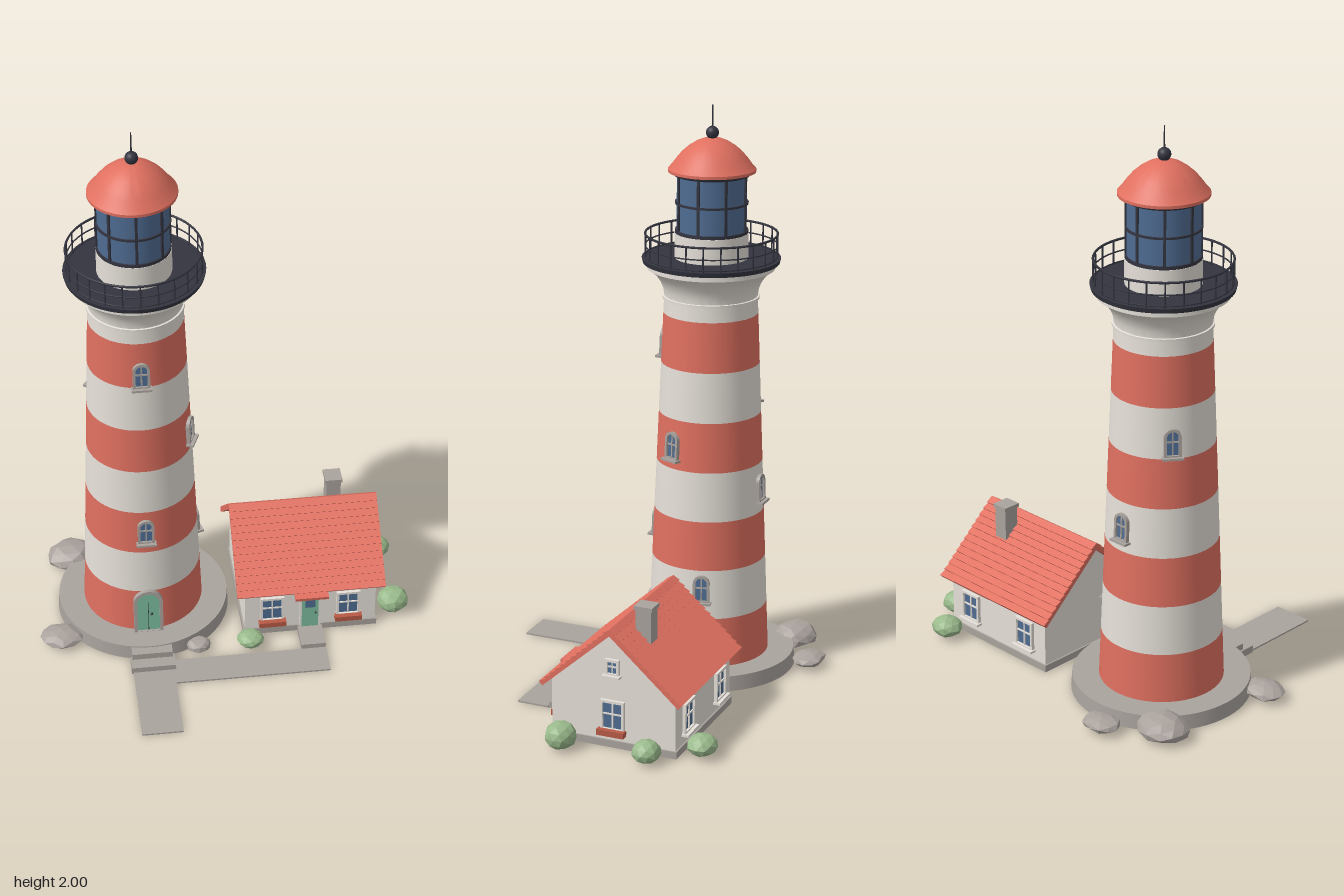
import * as THREE from 'three';
import { toCreasedNormals } from 'three/addons/utils/BufferGeometryUtils.js';

const mat = (name, color, extra = {}) => new THREE.MeshStandardMaterial({ name, color, ...extra });

export function createModel() {
  const red = mat('coral red', 0xe07060);
  const white = mat('warm white', 0xe6e1d9);
  const dark = mat('dark iron', 0x343440);
  const glass = mat('blue glass', 0x4f6c92);
  const green = mat('door green', 0x7cbc9e);
  const stone = mat('grey stone', 0xaaa39e);
  const leaf = mat('leaf green', 0x9aba8c, { flatShading: true });
  const rockMat = mat('rock', 0xaaa29d, { flatShading: true });
  const clay = mat('clay', 0xb85a45);

  const model = new THREE.Group();
  model.name = 'lighthouseStation';

  const add = (parent, name, geo, material, x = 0, y = 0, z = 0) => {
    const m = new THREE.Mesh(geo, material);
    m.name = name;
    m.position.set(x, y, z);
    parent.add(m);
    return m;
  };
  const box = (parent, name, material, w, h, d, x, y, z) =>
    add(parent, name, new THREE.BoxGeometry(w, h, d), material, x, y, z);
  const group = (parent, name, x = 0, y = 0, z = 0) => {
    const g = new THREE.Group();
    g.name = name;
    g.position.set(x, y, z);
    parent.add(g);
    return g;
  };
  const extrude = (shape, depth) =>
    new THREE.ExtrudeGeometry(shape, { depth, bevelEnabled: false, curveSegments: 10 });

  // Rectangle or round-headed outline standing on y = base
  const outline = (w, h, arched, base = 0, Type = THREE.Shape) => {
    const s = new Type();
    const r = w / 2;
    s.moveTo(-r, base);
    s.lineTo(r, base);
    if (arched) {
      s.lineTo(r, h - r);
      s.absarc(0, h - r, r, 0, Math.PI, false);
    } else {
      s.lineTo(r, h);
      s.lineTo(-r, h);
    }
    s.closePath();
    return s;
  };

  // Frame, pane and glazing bars, facing +z with the sill at y = 0
  const windowUnit = (parent, name, w, h, o = {}) => {
    const { arched = false, frameMat = white, t = 0.009, out = 0.012, box: planter = false } = o;
    const g = group(parent, name);
    const frame = outline(w, h, arched);
    frame.holes.push(outline(w - 2 * t, h - t, arched, t, THREE.Path));
    add(g, 'windowFrame', extrude(frame, out + 0.015), frameMat, 0, 0, -0.015);
    add(g, 'windowPane', extrude(outline(w - t, h - t / 2, arched, t / 2), 0.009), glass, 0, 0, -0.005);
    box(g, 'glazingBar', frameMat, 0.005, h - t, 0.006, 0, h / 2, 0.005);
    box(g, 'glazingBar', frameMat, w - t, 0.005, 0.006, 0, h * 0.55, 0.005);
    box(g, 'sill', frameMat, w + 0.012, 0.008, out + 0.02, 0, 0, 0.008);
    if (planter) box(g, 'flowerBox', clay, w + 0.012, 0.02, 0.025, 0, -0.002, 0.018);
    return g;
  };

  // ---------- Tower ----------
  const tower = group(model, 'tower', -0.291, 0, -0.142);
  const Y0 = 0.054, BAND = 0.176;
  const radius = (y) => 0.214 - (y - Y0) * 0.0413;
  const cyl = (rt, rb, h, open = false) => new THREE.CylinderGeometry(rt, rb, h, 64, 1, open);

  add(tower, 'plinth', cyl(0.306, 0.31, Y0), stone, 0, Y0 / 2, 0);
  for (let i = 0; i < 7; i++) {
    const a = Y0 + i * BAND, b = a + BAND;
    add(tower, 'towerBand', cyl(radius(b), radius(a), BAND, true), i % 2 ? white : red, 0, (a + b) / 2, 0);
  }
  const lathe = (pts) => toCreasedNormals(
    new THREE.LatheGeometry(pts.map(([x, y]) => new THREE.Vector2(x, y)), 64), 0.6);
  add(tower, 'flaredCornice', lathe([[0.163, 1.286], [0.161, 1.335], [0.167, 1.336], [0.167, 1.346],
    [0.161, 1.347], [0.164, 1.37], [0.174, 1.395], [0.191, 1.42], [0.212, 1.438], [0.22, 1.442], [0.22, 1.462]]), white);

  // Windows and door follow the sloping wall
  const onWall = (g, deg, y) => {
    const a = THREE.MathUtils.degToRad(deg), r = radius(y) - 0.001;
    g.position.set(Math.sin(a) * r, y, Math.cos(a) * r);
    g.rotation.set(-0.0413, a, 0, 'YXZ');
  };
  for (const [deg, y] of [[0, 0.45], [0, 1.11], [68, 0.79], [105, 0.29], [180, 0.62], [234, 0.94]])
    onWall(windowUnit(tower, 'towerWindow', 0.058, 0.1, { arched: true, frameMat: stone }), deg, y);

  const door = group(tower, 'towerDoor');
  const doorFrame = outline(0.104, 0.182, true);
  doorFrame.holes.push(outline(0.08, 0.17, true, 0.001, THREE.Path));
  add(door, 'doorFrame', extrude(doorFrame, 0.035), stone, 0, 0, -0.02);
  add(door, 'doorLeaf', extrude(outline(0.084, 0.171, true), 0.02), green, 0, 0, -0.014);
  box(door, 'doorSeam', dark, 0.002, 0.125, 0.002, 0, 0.064, 0.006);
  add(door, 'doorKnob', new THREE.SphereGeometry(0.005, 10, 8), dark, 0.012, 0.075, 0.009);
  onWall(door, 0, Y0);

  // ---------- Gallery ----------
  const gallery = group(tower, 'gallery');
  add(gallery, 'deck', cyl(0.238, 0.234, 0.016), dark, 0, 1.469, 0);
  for (const [y, t] of [[1.56, 0.004], [1.519, 0.0025], [1.482, 0.0025]]) {
    const rail = add(gallery, 'handrail', new THREE.TorusGeometry(0.226, t, 6, 64), dark, 0, y, 0);
    rail.rotation.x = Math.PI / 2;
  }
  for (let i = 0; i < 24; i++) {
    const a = (i / 24) * Math.PI * 2;
    add(gallery, 'baluster', new THREE.CylinderGeometry(0.003, 0.003, 0.086, 6), dark,
      Math.sin(a) * 0.226, 1.518, Math.cos(a) * 0.226);
  }

  // ---------- Lantern ----------
  const lantern = group(tower, 'lantern');
  add(lantern, 'lanternBase', cyl(0.126, 0.126, 0.088), white, 0, 1.52, 0);
  add(lantern, 'lanternGlass', cyl(0.119, 0.119, 0.206), glass, 0, 1.667, 0);
  for (const [y, h] of [[1.569, 0.012], [1.668, 0.007], [1.768, 0.014]])
    add(lantern, 'lanternRing', cyl(0.125, 0.125, h), dark, 0, y, 0);
  for (let i = 0; i < 8; i++) {
    const a = (i / 8) * Math.PI * 2;
    const bar = box(lantern, 'mullion', dark, 0.009, 0.206, 0.009, Math.sin(a) * 0.12, 1.667, Math.cos(a) * 0.12);
    bar.rotation.y = a;
  }
  add(lantern, 'roofTrim', cyl(0.136, 0.13, 0.014), dark, 0, 1.77, 0);
  add(lantern, 'dome', lathe([[0, 1.774], [0.149, 1.774], [0.149, 1.784], [0.137, 1.797], [0.12, 1.82],
    [0.102, 1.841], [0.08, 1.86], [0.055, 1.876], [0.03, 1.886], [0, 1.89]]), red);
  add(lantern, 'finialBall', new THREE.SphereGeometry(0.022, 24, 16), dark, 0, 1.906, 0);
  add(lantern, 'spire', new THREE.CylinderGeometry(0.002, 0.003, 0.09, 8), dark, 0, 1.955, 0);

  // ---------- Cottage ----------
  const house = group(model, 'cottage', 0.2925, 0, -0.14);
  const W = 0.475, D = 0.222;
  const alongX = (shape, length) => extrude(shape, length).rotateY(-Math.PI / 2).translate(length / 2, 0, 0);
  const gable = new THREE.Shape([[-D, 0], [D, 0], [D, 0.205], [0, 0.406], [-D, 0.205]]
    .map(([x, y]) => new THREE.Vector2(x, y)));
  add(house, 'walls', alongX(gable, W), white);
  box(house, 'footing', stone, W + 0.012, 0.025, 2 * D + 0.012, 0, 0.0125, 0);

  // Stepped tile courses, one profile for both slopes
  const ROWS = 13, half = [];
  const slope = (t, lift) => new THREE.Vector2(0.251 * t + lift * 0.67, 0.424 - 0.226 * t + lift * 0.74);
  for (let i = 0; i < ROWS; i++) half.push(slope(i / ROWS, 0), slope((i + 1) / ROWS, 0.007));
  half[0].set(0, 0.427);
  half.push(slope(1, -0.012));
  const mirrored = half.slice(1).reverse().map((p) => new THREE.Vector2(-p.x, p.y));
  add(house, 'tiledRoof', alongX(new THREE.Shape([...half, new THREE.Vector2(0, 0.404), ...mirrored]), 0.535), red);

  box(house, 'chimney', stone, 0.052, 0.14, 0.056, 0.118, 0.39, -0.067);
  box(house, 'chimneyCap', stone, 0.062, 0.014, 0.066, 0.118, 0.465, -0.067);

  // Cottage windows
  for (const x of [-0.139, 0.137]) {
    windowUnit(house, 'frontWindow', 0.086, 0.108, { box: true }).position.set(x, 0.06, D);
    const back = windowUnit(house, 'backWindow', 0.086, 0.108);
    back.position.set(x, 0.06, -D);
    back.rotation.y = Math.PI;
  }
  for (const [name, w, h, y, planter] of [['gableWindow', 0.086, 0.108, 0.06, true], ['atticWindow', 0.05, 0.058, 0.256, false]]) {
    const g = windowUnit(house, name, w, h, { box: planter });
    g.position.set(W / 2, y, 0);
    g.rotation.y = Math.PI / 2;
  }

  // Cottage door, canopy and step
  const porch = group(house, 'cottageDoor', -0.002, 0, D);
  box(porch, 'doorFrame', white, 0.074, 0.162, 0.016, 0, 0.103, 0.004);
  box(porch, 'doorLeaf', green, 0.06, 0.152, 0.008, 0, 0.1, 0.01);
  box(porch, 'doorPane', glass, 0.036, 0.05, 0.004, 0, 0.14, 0.014);
  add(porch, 'doorKnob', new THREE.SphereGeometry(0.004, 8, 6), dark, 0.02, 0.09, 0.017);
  box(porch, 'canopy', red, 0.12, 0.012, 0.055, 0, 0.192, 0.0265).rotation.x = 0.12;
  box(porch, 'doorStep', stone, 0.088, 0.022, 0.108, 0, 0.011, 0.054);

  // ---------- Paths and steps ----------
  box(model, 'upperStep', stone, 0.144, 0.05, 0.13, -0.29, 0.025, 0.132);
  box(model, 'lowerStep', stone, 0.158, 0.027, 0.06, -0.29, 0.0135, 0.211);
  box(model, 'mainPath', stone, 0.144, 0.006, 0.354, -0.29, 0.003, 0.371);
  box(model, 'cottagePath', stone, 0.553, 0.006, 0.115, 0.0585, 0.003, 0.2505);

  // ---------- Rocks and bushes ----------
  const lump = (name, material, cx, cz, rx, rz, bottom, top, rough) => {
    const geo = new THREE.IcosahedronGeometry(1, 1);
    const p = geo.attributes.position, v = new THREE.Vector3();
    for (let i = 0; i < p.count; i++) {
      v.fromBufferAttribute(p, i);
      const n = Math.sin(v.x * 5.1 + cx * 40) * Math.cos(v.z * 4.3 + cz * 30) + Math.sin(v.y * 3.7 + cx * 17);
      v.multiplyScalar(1 + rough * (n - 0.3));
      p.setXYZ(i, v.x, v.y, v.z);
    }
    geo.scale(rx, (top - bottom) / 2, rz);
    geo.computeVertexNormals();
    add(model, name, geo, material, cx, (top + bottom) / 2, cz);
  };
  for (const [x, z, rx, rz, top] of [[-0.535, -0.386, 0.096, 0.082, 0.082], [-0.36, -0.502, 0.069, 0.056, 0.055],
    [-0.601, 0.042, 0.075, 0.062, 0.06], [-0.119, 0.14, 0.048, 0.04, 0.042]])
    lump('rock', rockMat, x, z, rx, rz, 0.002, top, 0.08);
  for (const [x, z, r, top] of [[0.482, -0.437, 0.056, 0.084], [0.597, -0.288, 0.054, 0.08],
    [0.608, 0.015, 0.06, 0.092], [0.067, 0.148, 0.048, 0.068]])
    lump('bush', leaf, x, z, r, r * 0.92, 0.004, top, 0.04);

  return model;
}
